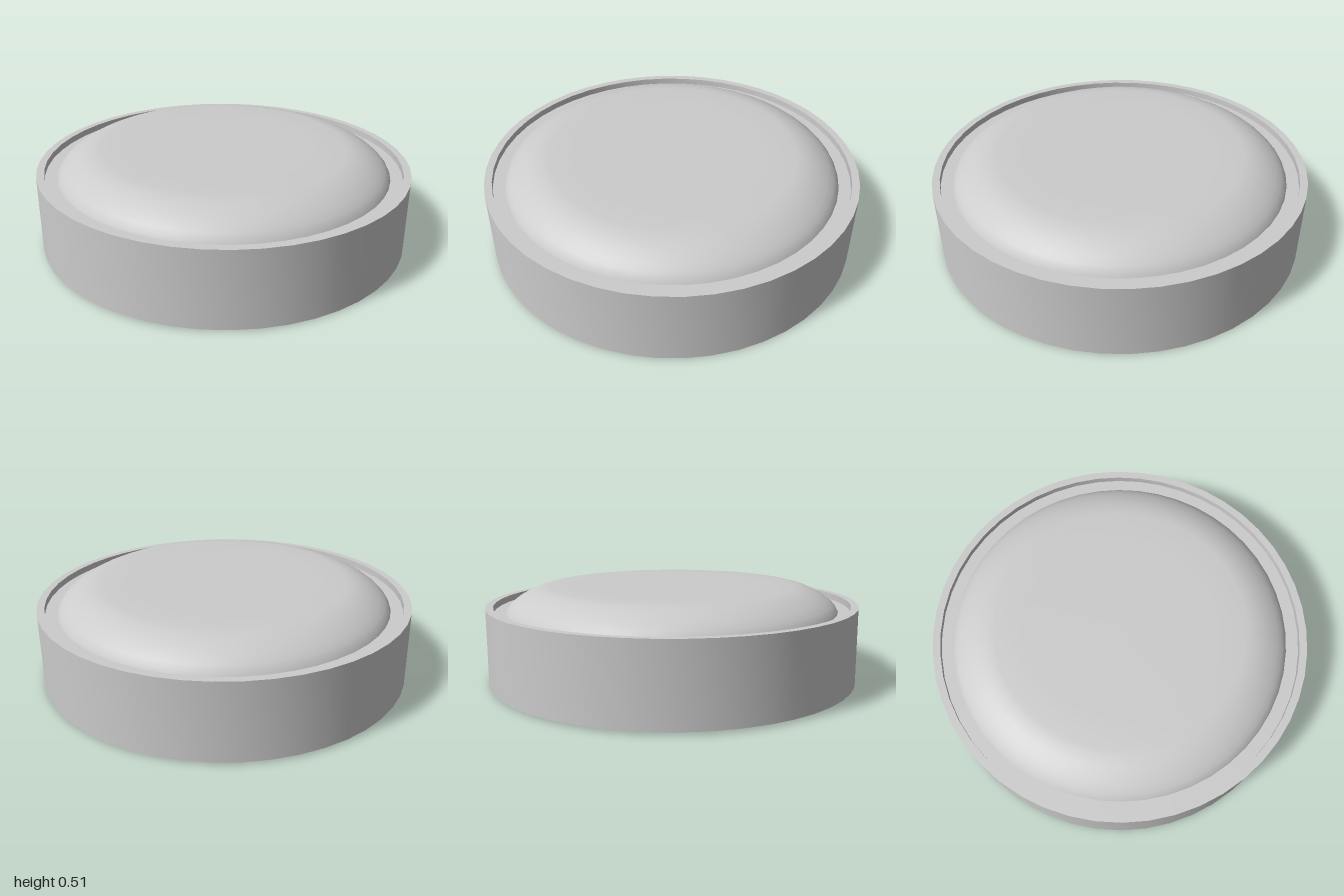
import * as THREE from 'three';
import { toCreasedNormals } from 'three/addons/utils/BufferGeometryUtils.js';

const SIDES = 48;

// Revolve a list of [radius, height] points about the y axis
function turned(name, points, crease) {
  const profile = points.map(([r, y]) => new THREE.Vector2(r, y));
  const geometry = toCreasedNormals(new THREE.LatheGeometry(profile, SIDES), crease);
  const mesh = new THREE.Mesh(geometry, new THREE.MeshStandardMaterial({ color: 0xcccccc }));
  mesh.name = name;
  return mesh;
}

export function createModel() {
  const group = new THREE.Group();
  group.name = 'domedDisc';
  const body = new THREE.Group();
  body.name = 'body';

  // Outer ring: recessed underside lip, straight wall, thin rim and inner ledge
  body.add(turned('outerRing', [
    [0.934, 0.03], [0.934, 0], [1, 0], [1, 0.405], [0.96, 0.405], [0.96, 0.37], [0.895, 0.37],
  ], 0.6));

  // Flat base plate set into the underside
  body.add(turned('basePlate', [[0, 0.03], [0.934, 0.03]], 0.6));

  // Cushion-like top with a rounded shoulder and flat centre
  body.add(turned('domedTop', [
    [0.895, 0.37], [0.885, 0.39], [0.865, 0.412], [0.835, 0.436], [0.795, 0.459],
    [0.75, 0.48], [0.70, 0.493], [0.66, 0.498], [0.5, 0.498], [0, 0.498],
  ], 0.9));

  // The body leans very slightly toward +x
  body.rotation.z = -0.006;
  body.position.y = 0.006;
  group.add(body);
  return group;
}
